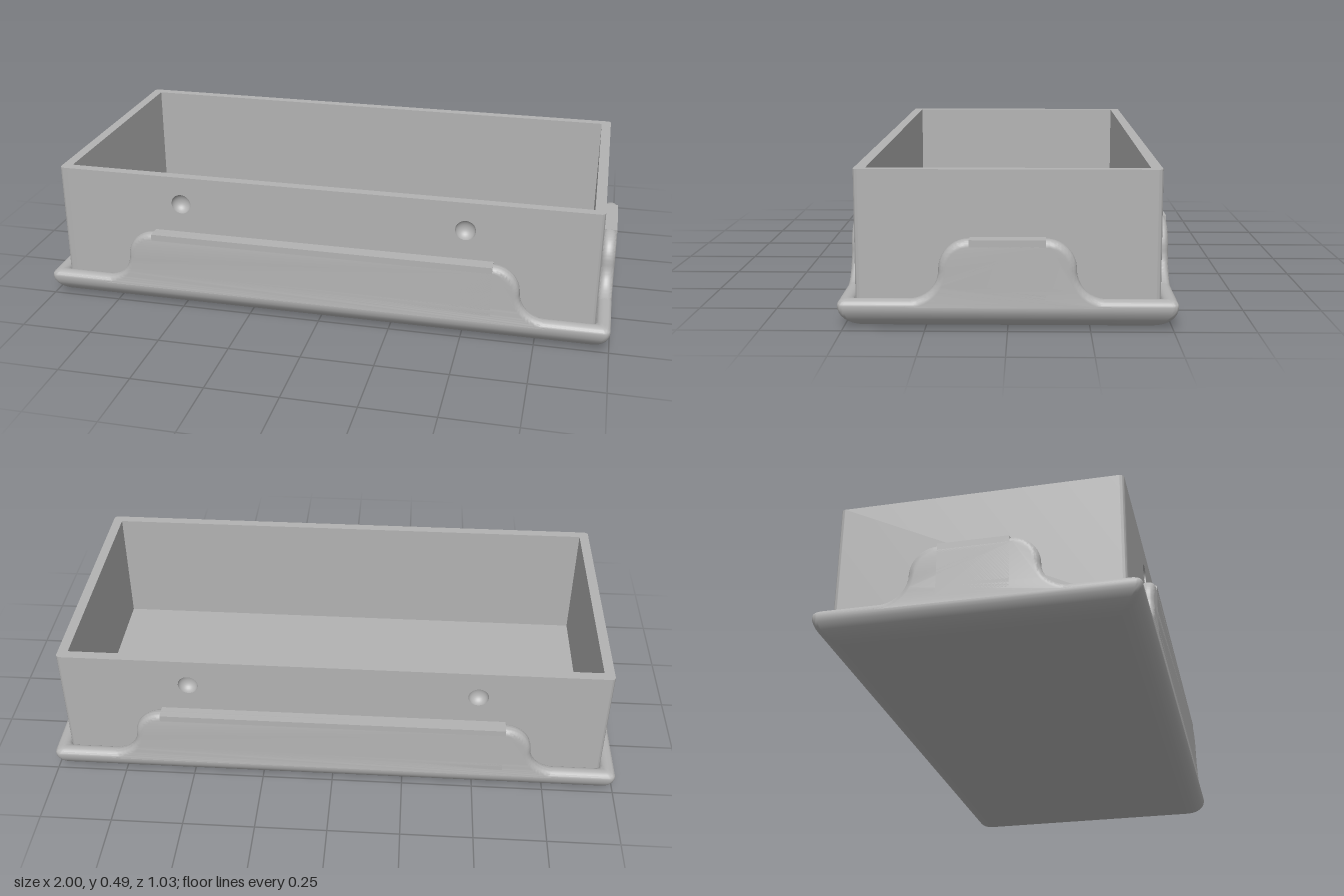
import * as THREE from 'three';
import { toCreasedNormals } from 'three/addons/utils/BufferGeometryUtils.js';

const HX = 1, HZ = 0.515;        // half size of the base
const BX = 0.95, BZ = 0.465;     // half size of the box
const TOP = 0.485, WALL = 0.035, FLOOR = 0.05, LIP = 0.05;
const HOLE_X = 0.5, HOLE_Y = 0.385, HOLE_R = 0.035;

const grey = new THREE.MeshStandardMaterial({ color: 0xb2b2b2, side: THREE.DoubleSide });

function add(parent, name, geometry) {
  const mesh = new THREE.Mesh(geometry, grey);
  mesh.name = name;
  parent.add(mesh);
  return mesh;
}

// Outline of a rectangle with small rounded corners, as [x, z] pairs
function ring(inset) {
  const r = 0.02, points = [];
  for (let k = 0; k < 4; k++) {
    const sx = k === 0 || k === 3 ? 1 : -1, sz = k < 2 ? 1 : -1;
    for (let s = 0; s <= 5; s++) {
      const t = (k + s / 5) * Math.PI / 2;
      points.push([sx * (HX - inset - r) + r * Math.cos(t), sz * (HZ - inset - r) + r * Math.sin(t)]);
    }
  }
  return points;
}

// Solid tray: rounded underside, half-round lip and a flat floor
function baseGeometry() {
  const profile = [];
  for (let i = 0; i <= 10; i++) {
    const t = i / 10 * Math.PI / 2;
    profile.push([0.088 * (1 - Math.sin(t)), 0.075 * (1 - Math.cos(t))]);
  }
  for (let i = 1; i <= 10; i++) {
    const t = i / 10 * Math.PI;
    profile.push([LIP / 2 * (1 - Math.cos(t)), 0.075 + 0.02 * Math.sin(t)]);
  }
  profile.push([0.06, FLOOR]);
  const loops = profile.map(([inset, y]) => ring(inset).map(([x, z]) => [x, y, z]));
  const n = loops[0].length, out = [];
  for (let j = 0; j < n; j++) {
    const k = (j + 1) % n;
    const first = loops[0], last = loops[loops.length - 1];
    out.push(0, 0, 0, ...first[j], ...first[k]);
    for (let i = 0; i < loops.length - 1; i++) {
      const a = loops[i], b = loops[i + 1];
      out.push(...a[j], ...b[j], ...a[k], ...a[k], ...b[j], ...b[k]);
    }
    out.push(0, FLOOR, 0, ...last[k], ...last[j]);
  }
  const g = new THREE.BufferGeometry();
  g.setAttribute('position', new THREE.Float32BufferAttribute(out, 3));
  return toCreasedNormals(g, 0.6);
}

// Raised skirt with S-curved shoulders; h is half the length of its flat top
function makeSkirt(name, h, outer) {
  const y0 = 0.094, y1 = 0.28, r = (y1 - y0) / 2, b = 0.022, end = h + 2 * r + 0.03;
  const s = new THREE.Shape();
  s.moveTo(-end, 0.055);
  s.lineTo(end, 0.055);
  s.lineTo(end, y0);
  s.lineTo(h + 2 * r, y0);
  s.absarc(h + 2 * r, y0 + r, r, -Math.PI / 2, -Math.PI, true);
  s.absarc(h, y1 - r, r, 0, Math.PI / 2, false);
  s.lineTo(-h, y1);
  s.absarc(-h, y1 - r, r, Math.PI / 2, Math.PI, false);
  s.absarc(-h - 2 * r, y0 + r, r, 0, -Math.PI / 2, true);
  s.lineTo(-end, y0);
  const g = new THREE.ExtrudeGeometry(s, {
    depth: LIP - 2 * b, bevelThickness: b, bevelSize: b, bevelOffset: -b, bevelSegments: 5, curveSegments: 12,
  });
  g.translate(0, 0, outer - LIP + b);
  const skirt = new THREE.Group();
  skirt.name = name;
  add(skirt, 'skirtLip', toCreasedNormals(g, 0.6));
  // square-edged middle of the skirt
  const mid = new THREE.BoxGeometry(2 * h, y1 - 0.1, LIP);
  mid.translate(0, (y1 + 0.1) / 2, outer - LIP / 2);
  add(skirt, 'skirtMiddle', mid);
  return skirt;
}

// Long wall with two round dimples on its outer face
function makeLongWall(name) {
  const w = BX - WALL, y = 0.04;
  const s = new THREE.Shape();
  s.moveTo(-w, y);
  s.lineTo(w, y);
  s.lineTo(w, TOP);
  s.lineTo(-w, TOP);
  for (const x of [-HOLE_X, HOLE_X]) {
    const hole = new THREE.Path();
    hole.absarc(x, HOLE_Y, HOLE_R, 0, Math.PI * 2, true);
    s.holes.push(hole);
  }
  const g = new THREE.ExtrudeGeometry(s, { depth: WALL, bevelEnabled: false, curveSegments: 16 });
  g.translate(0, 0, BZ - WALL);
  const wall = new THREE.Group();
  wall.name = name;
  add(wall, 'wallPanel', toCreasedNormals(g, 0.6));
  for (const x of [-HOLE_X, HOLE_X]) {
    const bowl = new THREE.SphereGeometry(HOLE_R, 32, 8, 0, Math.PI * 2, 0, Math.PI / 2);
    bowl.rotateX(-Math.PI / 2);
    bowl.scale(1, 1, 0.85);
    add(wall, 'dimple', bowl).position.set(x, HOLE_Y, BZ);
    // closes the wall on the inside
    const disc = new THREE.CircleGeometry(HOLE_R, 32);
    disc.rotateY(Math.PI);
    add(wall, 'dimpleBack', disc).position.set(x, HOLE_Y, BZ - WALL);
  }
  return wall;
}

// End wall with softly rounded outer corners
function endWallGeometry() {
  const r = 0.015, s = new THREE.Shape();
  s.moveTo(BX - WALL, -BZ);
  s.lineTo(BX - r, -BZ);
  s.absarc(BX - r, -BZ + r, r, -Math.PI / 2, 0, false);
  s.absarc(BX - r, BZ - r, r, 0, Math.PI / 2, false);
  s.lineTo(BX - WALL, BZ);
  const g = new THREE.ExtrudeGeometry(s, { depth: TOP - 0.04, bevelEnabled: false, curveSegments: 6 });
  g.rotateX(-Math.PI / 2);
  g.translate(0, 0.04, 0);
  return toCreasedNormals(g, 0.6);
}

export function createModel() {
  const model = new THREE.Group();
  model.name = 'openBox';
  add(model, 'base', baseGeometry());
  for (const [side, turn] of [['front', 0], ['back', Math.PI]]) {
    const wall = makeLongWall(side + 'Wall');
    const skirt = makeSkirt(side + 'Skirt', 0.6, HZ);
    wall.rotation.y = skirt.rotation.y = turn;
    model.add(wall, skirt);
  }
  for (const [side, turn] of [['left', 0], ['right', Math.PI]]) {
    add(model, side + 'Wall', endWallGeometry()).rotation.y = turn;
    const skirt = makeSkirt(side + 'Skirt', 0.115, HX);
    skirt.rotation.y = turn + Math.PI / 2;
    model.add(skirt);
  }
  return model;
}
